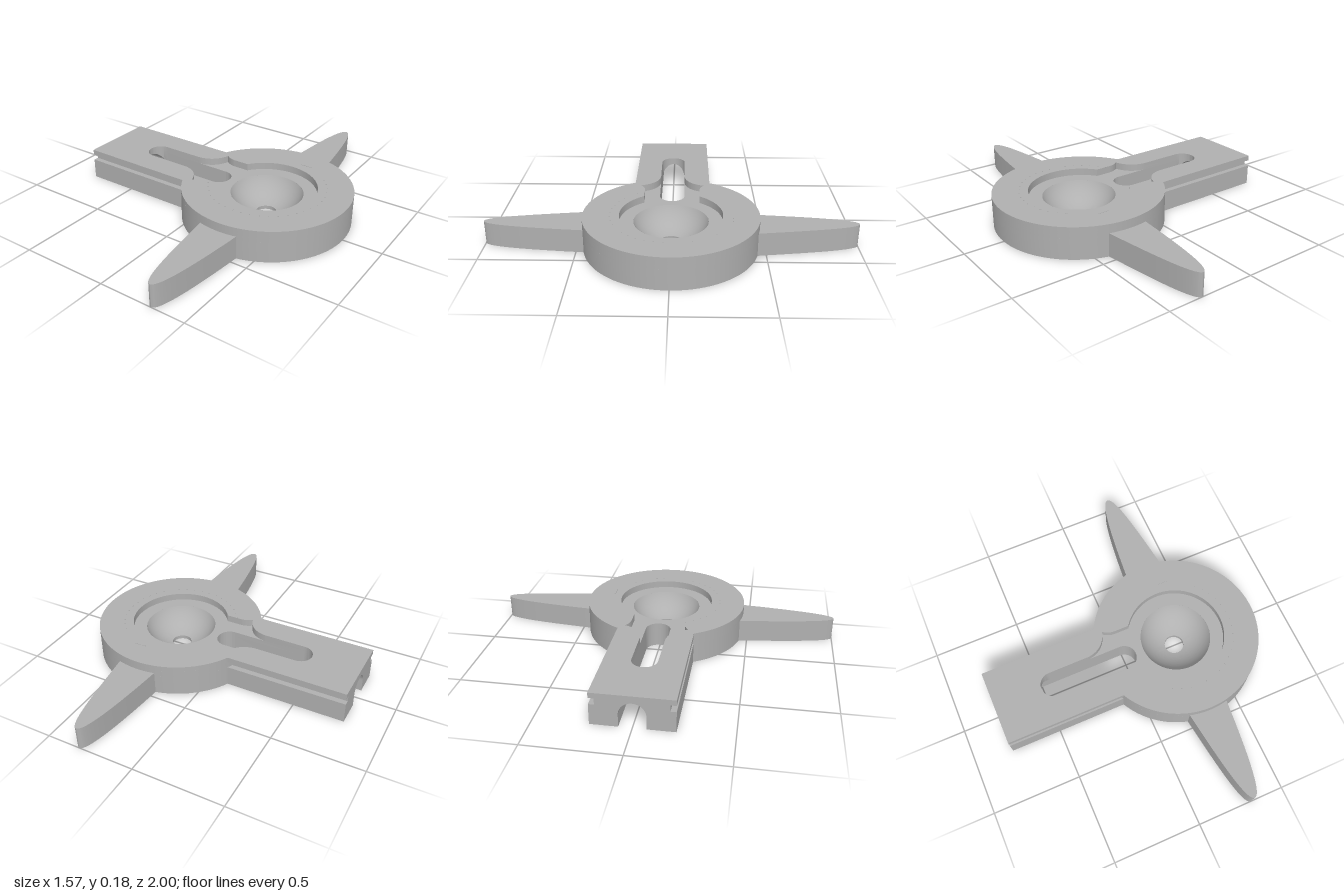
import * as THREE from 'three';
import { toCreasedNormals } from 'three/addons/utils/BufferGeometryUtils.js';

const CX = 0.31;      // disc centre
const R = 0.47;       // disc radius
const END = -0.785;   // free end of the arm
const TOP = 0.18;     // overall height
const FLOOR = 0.14;   // recess floor height
const SLOT = 0.07;    // half width of slot and channel
const BOWL = 0.2;     // bowl rim radius

const grey = new THREE.MeshStandardMaterial({ color: 0xb0b0b0 });
grey.name = 'grey';

function mesh(name, geometry) {
  const m = new THREE.Mesh(toCreasedNormals(geometry, 0.5), grey);
  m.name = name;
  return m;
}

// Extrude a plan shape upwards from y0 to y1
function slab(name, shape, y0, y1) {
  const g = new THREE.ExtrudeGeometry(shape, { depth: y1 - y0, bevelEnabled: false, curveSegments: 64 });
  g.rotateX(-Math.PI / 2);
  g.translate(0, y0, 0);
  return mesh(name, g);
}

// Plan of disc plus arm, open along the slot; the recess widens the cavity
function bodyPlan(halfWidth, recessed) {
  const s = new THREE.Shape();
  const a = Math.PI - Math.asin(halfWidth / R);
  s.moveTo(END, halfWidth);
  s.lineTo(CX + R * Math.cos(a), halfWidth);
  s.absarc(CX, 0, R, a, -a, true);
  s.lineTo(END, -halfWidth);
  s.lineTo(END, -SLOT);
  if (recessed) {
    const r = 0.275, neck = 0.155, b = Math.PI - Math.asin(neck / r);
    s.lineTo(-0.2, -SLOT);
    s.quadraticCurveTo(-0.1, -0.08, -0.07, -0.18);
    s.quadraticCurveTo(-0.04, -neck, 0, -neck);
    s.lineTo(CX + r * Math.cos(b), -neck);
    s.absarc(CX, 0, r, -b, b, false);
    s.lineTo(0, neck);
    s.quadraticCurveTo(-0.04, neck, -0.07, 0.18);
    s.quadraticCurveTo(-0.1, 0.08, -0.2, SLOT);
  } else {
    s.lineTo(-0.01, -SLOT);
    s.absarc(-0.01, 0, SLOT, -Math.PI / 2, Math.PI / 2, false);
    const hole = new THREE.Path();
    hole.absarc(CX, 0, BOWL, 0, Math.PI * 2, false);
    s.holes.push(hole);
  }
  s.lineTo(END, SLOT);
  return s;
}

// Web closing the arm above the arched channel, ending in the round slot end
function archWeb() {
  const steps = 32, pos = [];
  const section = (i) => {
    const t = Math.PI * i / steps;
    const z = -SLOT * Math.cos(t), rise = SLOT * Math.sin(t);
    const x1 = -0.44 - rise, y0 = 0.07 + rise;
    return [[END, y0, z], [x1, y0, z], [x1, TOP, z], [END, TOP, z]];
  };
  for (let i = 0; i < steps; i++) {
    const p = section(i), q = section(i + 1);
    for (let k = 0; k < 4; k++) {
      const n = (k + 1) % 4;
      pos.push(...p[k], ...p[n], ...q[n], ...p[k], ...q[n], ...q[k]);
    }
  }
  const g = new THREE.BufferGeometry();
  g.setAttribute('position', new THREE.Float32BufferAttribute(pos, 3));
  return mesh('archWeb', g);
}

// Spherical bowl with a drain hole, solid underneath
function bowl() {
  const hole = 0.055, c = 0.234, r = Math.hypot(BOWL, c - FLOOR);
  const a0 = Math.asin(hole / r), a1 = Math.asin(BOWL / r);
  const pts = [new THREE.Vector2(hole, 0), new THREE.Vector2(BOWL, 0), new THREE.Vector2(BOWL, FLOOR)];
  for (let i = 1; i <= 20; i++) {
    const a = a1 + (a0 - a1) * i / 20;
    pts.push(new THREE.Vector2(r * Math.sin(a), c - r * Math.cos(a)));
  }
  pts.push(new THREE.Vector2(hole, 0));
  const m = mesh('bowl', new THREE.LatheGeometry(pts, 64));
  m.position.x = CX;
  return m;
}

// Tapered pointer with a rounded tip, slightly skewed at its base
function fin(name) {
  const s = new THREE.Shape();
  s.moveTo(-0.127, -0.42);
  s.bezierCurveTo(-0.085, -0.72, -0.05, -1, 0, -1);
  s.bezierCurveTo(0.05, -1, 0.08, -0.72, 0.105, -0.42);
  const m = slab(name, s, 0, 0.13);
  m.position.x = CX;
  return m;
}

export function createModel() {
  const group = new THREE.Group();

  // Body in layers: base, side grooves in the arm, recess in the top
  const wide = 0.215, grooved = 0.185;
  group.add(
    slab('bodyBase', bodyPlan(wide, false), 0, 0.115),
    slab('grooveLower', bodyPlan(grooved, false), 0.115, FLOOR),
    slab('grooveUpper', bodyPlan(grooved, true), FLOOR, 0.15),
    slab('bodyTop', bodyPlan(wide, true), 0.15, TOP),
    archWeb(),
    bowl()
  );

  // Front and back pointers
  const back = fin('backFin');
  back.rotation.y = Math.PI;
  group.add(fin('frontFin'), back);

  // Fine scale marks around the recess
  const marks = new THREE.Group();
  marks.name = 'scaleMarks';
  const addMark = (x, z, w) => {
    const m = mesh('mark', new THREE.BoxGeometry(w, 0.002, 0.006));
    m.position.set(x, TOP + 0.001, z);
    marks.add(m);
  };
  for (let i = 0; i < 24; i++) {
    const a = -0.8 + i * 0.15;
    addMark(CX + 0.325 * Math.cos(a), 0.325 * Math.sin(a), 0.006);
  }
  addMark(0.375, -0.328, 0.065);
  group.add(marks);

  return group;
}
